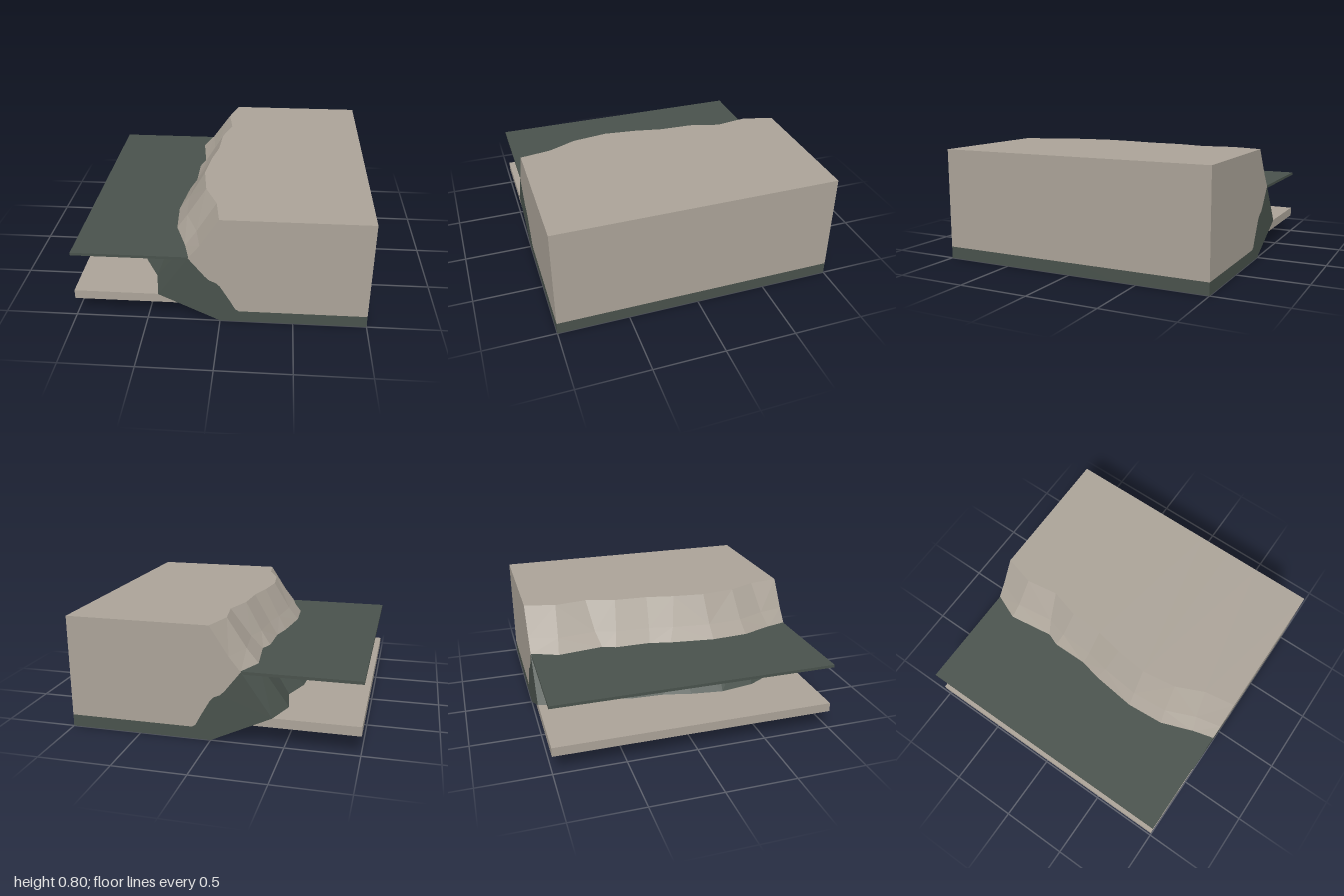
import * as THREE from 'three';

export function createModel() {
  const group = new THREE.Group();
  const stone = new THREE.MeshStandardMaterial({ color: 0xaba398, flatShading: true, side: THREE.DoubleSide });
  stone.name = 'pale stone';
  const dark = new THREE.MeshStandardMaterial({ color: 0x49524c, flatShading: true, side: THREE.DoubleSide });
  dark.name = 'dark green rock';

  const add = (name, geometry, material) => {
    const mesh = new THREE.Mesh(geometry, material);
    mesh.name = name;
    group.add(mesh);
    return mesh;
  };

  // Rows of the uneven cliff, running from back to front
  const zTop = [-1, -0.78, -0.55, -0.34, -0.1, 0.1, 0.33, 0.58, 0.78, 1];
  const zMid = [-1, -0.81, -0.48, -0.39, -0.13, 0.02, 0.35, 0.62, 0.85, 1];
  const zBend = zTop.map((z, i) => (z + zMid[i]) / 2);
  const xTop = [0, -0.06, -0.025, -0.085, -0.095, -0.135, -0.16, -0.125, -0.035, 0];
  const xMid = [-0.21, -0.29, -0.245, -0.28, -0.28, -0.315, -0.355, -0.335, -0.25, -0.21];
  const xBend = [-0.13, -0.2, -0.165, -0.205, -0.215, -0.25, -0.28, -0.26, -0.17, -0.13];
  const row = (xs, y, zs) => xs.map((x, i) => [x, y, zs[i]]);
  const edge = (y) => row(zTop.map(() => 1), y, zTop);
  const brow = row(xTop, 0.8, zTop);
  const bend = row(xBend, 0.6, zBend);
  const ledge = row(xMid, 0.5, zMid);
  const lip = row(xTop.map((x) => -0.42 + x * 1.2), 0.2, zTop);
  const foot = row(xTop, 0, zTop);

  // Faceted skin stretched between successive rows
  const skin = (...rows) => {
    const points = [];
    for (let r = 0; r < rows.length - 1; r++) {
      const a = rows[r], b = rows[r + 1];
      for (let i = 0; i < a.length - 1; i++) {
        if (i % 2) points.push(a[i], b[i], b[i + 1], a[i], b[i + 1], a[i + 1]);
        else points.push(a[i], b[i], a[i + 1], b[i], b[i + 1], a[i + 1]);
      }
    }
    const geometry = new THREE.BufferGeometry();
    geometry.setAttribute('position', new THREE.Float32BufferAttribute(points.flat(), 3));
    geometry.computeVertexNormals();
    return geometry;
  };

  // Hollow block, open underneath
  add('baseBand', skin(edge(0), edge(0.085)), dark);
  add('outerWall', skin(edge(0.085), edge(0.8)), stone);
  add('plateau', skin(edge(0.8), brow), stone);
  add('upperCliff', skin(brow, bend, ledge), stone);
  add('lowerCliff', skin(ledge, lip, foot), dark);

  // End walls, split along the rising dark layer
  const seam = [[1, 0.085], [0.13, 0.085], [0.105, 0.1], [0.07, 0.165], [0, 0.285], [-0.025, 0.31],
    [-0.07, 0.33], [-0.1, 0.36], [-0.21, 0.5]];
  const cap = (pts) => new THREE.ShapeGeometry(new THREE.Shape(pts.map((p) => new THREE.Vector2(...p))));
  const upperCap = cap([...seam, [-0.13, 0.6], [0, 0.8], [1, 0.8]]);
  const lowerCap = cap([...seam, [-0.42, 0.2], [0, 0], [1, 0]]);
  for (const [side, s] of [['front', 1], ['back', -1]]) {
    for (const [name, geometry, material] of [['UpperWall', upperCap, stone], ['LowerWall', lowerCap, dark]]) {
      const wall = add(side + name, geometry, material);
      wall.position.z = s;
      wall.scale.z = s;
    }
  }

  // Level slabs that run into the cliff
  const slab = (name, x0, x1, y0, y1, material) => {
    const mesh = add(name, new THREE.BoxGeometry(x1 - x0, y1 - y0, 1.994), material);
    mesh.position.set((x0 + x1) / 2, (y0 + y1) / 2, 0);
  };
  slab('upperSlab', -1, -0.2, 0.485, 0.505, dark);
  slab('lowerSlab', -1, 0.997, 0.135, 0.2, stone);

  return group;
}
